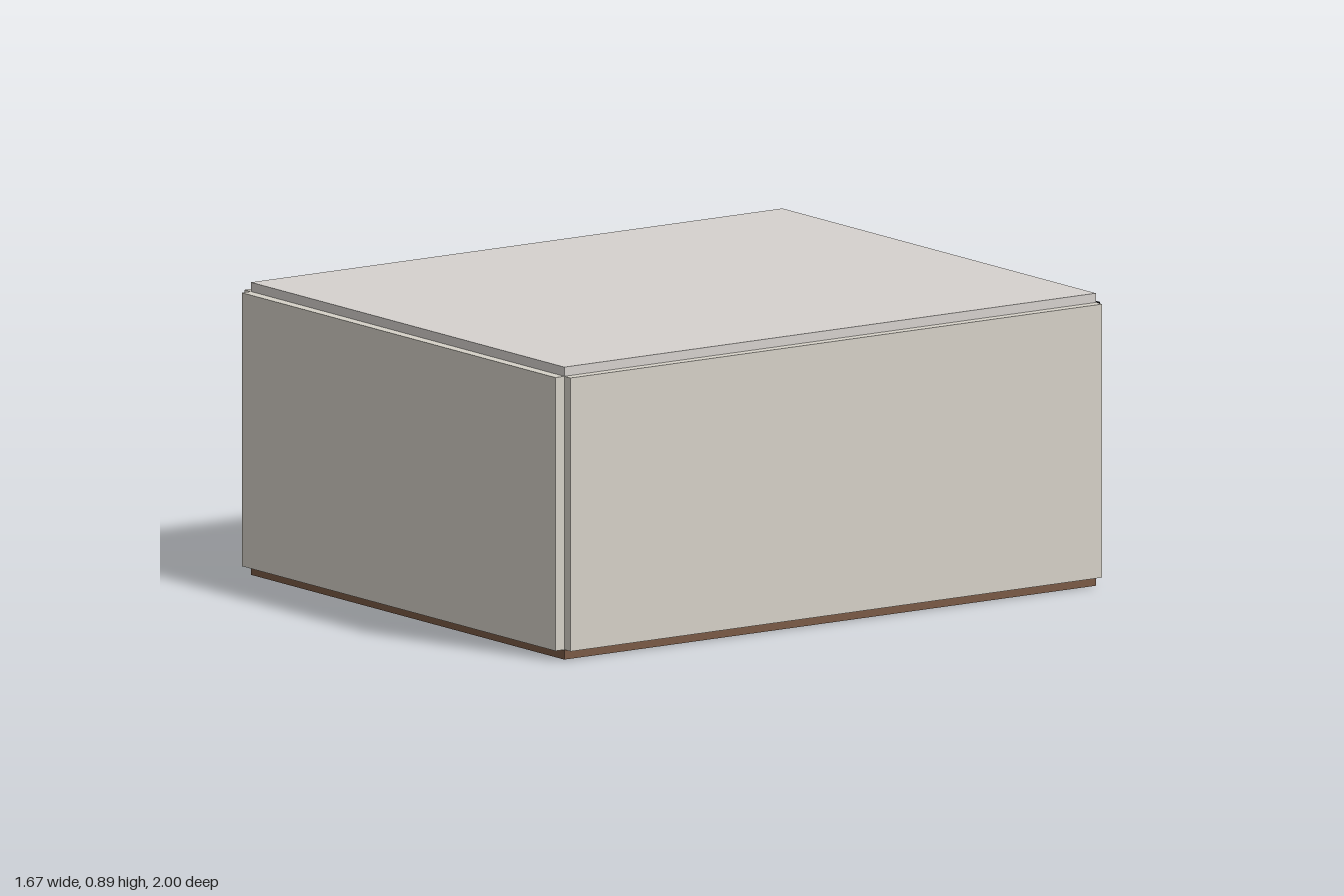
import * as THREE from 'three';

const material = (color) => new THREE.MeshStandardMaterial({ color });

export function createModel() {
  const model = new THREE.Group();
  model.name = 'room';

  const wallPaint = material(0xd6d2c8);
  const roofPaint = material(0xd6d2ce);
  const wood = material(0x7a5a45);
  const darkMetal = material(0x1a1c20);
  const paleGlass = material(0xa3b6c9);

  // Box given by its min and max corner
  const slab = (name, mat, [x0, y0, z0], [x1, y1, z1], parent = model) => {
    const mesh = new THREE.Mesh(new THREE.BoxGeometry(x1 - x0, y1 - y0, z1 - z0), mat);
    mesh.position.set((x0 + x1) / 2, (y0 + y1) / 2, (z0 + z1) / 2);
    mesh.name = name;
    parent.add(mesh);
  };

  const halfW = 0.803, wall = 0.032, floorTop = 0.03, wallTop = 0.862;
  const back = -0.985, front = 0.967;

  // Shell
  slab('floor', wood, [-halfW, 0, back], [halfW, floorTop, front]);
  slab('roof', roofPaint, [-halfW, wallTop, back], [halfW, 0.89, front]);
  slab('frontWall', wallPaint, [-halfW, floorTop, front], [halfW, wallTop, 1]);
  slab('leftWall', wallPaint, [halfW, floorTop, back], [halfW + wall, wallTop, front]);
  slab('rightWall', wallPaint, [-halfW - wall, floorTop, back], [-halfW, wallTop, front]);

  // Glazed back: three panes in a dark frame
  const glazing = new THREE.Group();
  glazing.name = 'backWindow';
  model.add(glazing);

  const rail = 0.025, post = 0.012;
  slab('bottomRail', darkMetal, [-halfW, floorTop, -1], [halfW, floorTop + rail, -0.972], glazing);
  slab('topRail', darkMetal, [-halfW, wallTop - rail, -1], [halfW, wallTop, -0.972], glazing);

  const postX = [-0.798, -0.266, 0.266, 0.798];
  postX.forEach((x, i) => {
    slab('windowPost', darkMetal, [x - post, floorTop, -0.996], [x + post, wallTop, -0.974], glazing);
    if (i < 3) {
      slab('windowPane', paleGlass, [x + post, floorTop + rail, -0.988],
        [postX[i + 1] - post, wallTop - rail, -0.982], glazing);
    }
  });

  return model;
}
